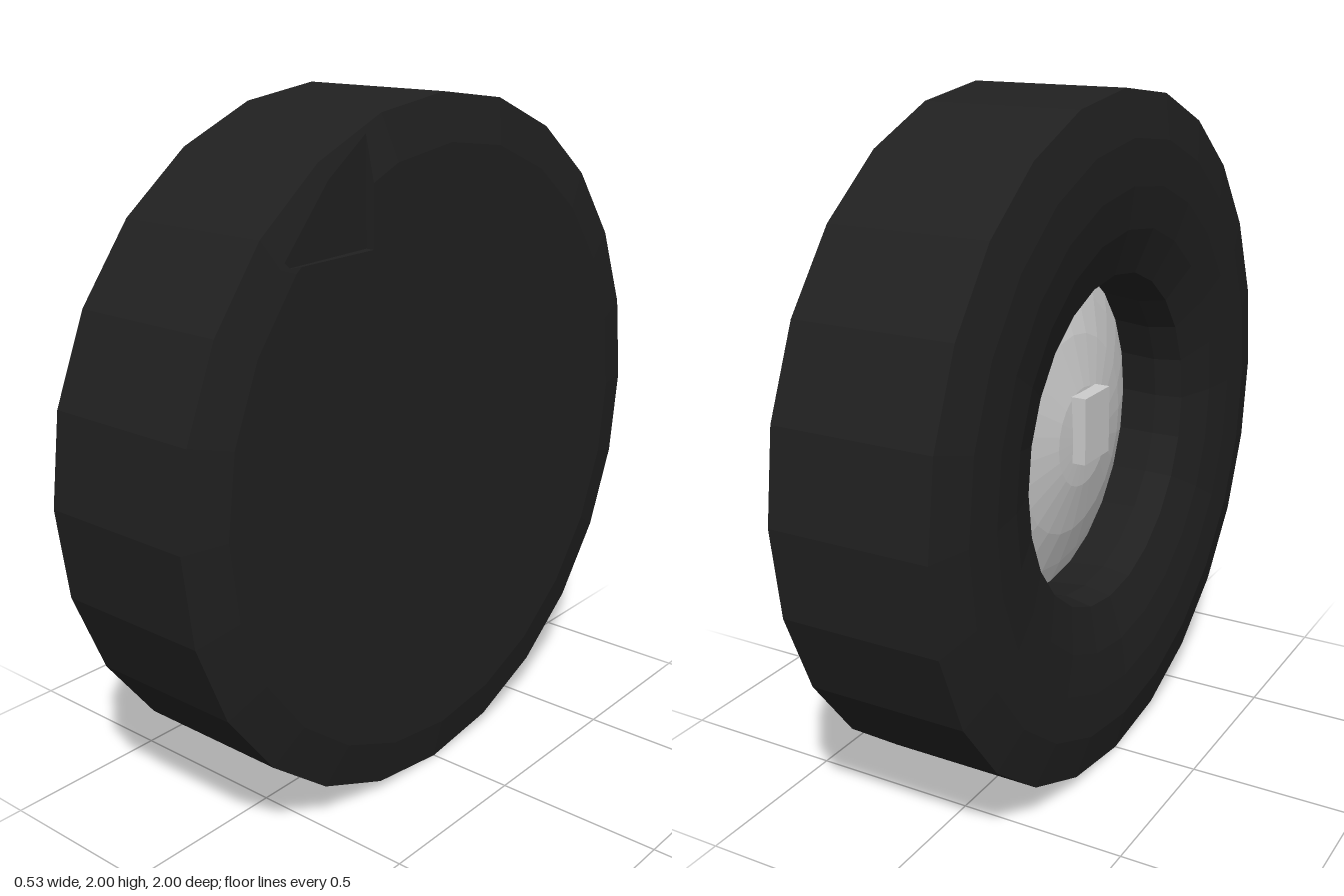
import * as THREE from 'three';

const SIDES = 24, STEP = Math.PI * 2 / SIDES;
const FACE_X = 0.265, TREAD_X = 0.235, FACE_R = 0.87;

const rubber = new THREE.MeshStandardMaterial({ color: 0x202020, flatShading: true, side: THREE.DoubleSide });
const metal = new THREE.MeshStandardMaterial({ color: 0xcccccc, flatShading: true, side: THREE.DoubleSide });

// Revolves [radius, x] points around the wheel's axle (x)
function revolve(name, profile, material) {
  const geometry = new THREE.LatheGeometry(profile.map(([r, x]) => new THREE.Vector2(r, x)), SIDES);
  geometry.rotateZ(-Math.PI / 2);
  const mesh = new THREE.Mesh(geometry, material);
  mesh.name = name;
  return mesh;
}

// Closed outer side: flat face and bevel, with a small corner recess
function coverGeometry() {
  const positions = [];
  const fan = (...p) => {
    for (let i = 1; i < p.length - 1; i++) positions.push(...p[0], ...p[i], ...p[i + 1]);
  };
  const rim = (i, r, x) => [x, r * Math.sin(i * STEP), r * Math.cos(i * STEP)];
  const inner = i => rim(i, FACE_R, FACE_X);
  const outer = i => rim(i, 1, TREAD_X);
  // Point on the bevel facet that starts at rim corner i
  const onBevel = (i, y, z) => {
    const mid = (i + 0.5) * STEP;
    const r = (z * Math.cos(mid) + y * Math.sin(mid)) / Math.cos(STEP / 2);
    return [FACE_X - (r - FACE_R) / (1 - FACE_R) * (FACE_X - TREAD_X), y, z];
  };

  // Recess corners
  const z0 = 0.325, y0 = 0.63;
  const top = [FACE_X, 0.799, z0], side = [FACE_X, y0, 0.595];
  const corner = [FACE_X, y0, z0], floor = [0.24, y0, z0];
  const topEnd = onBevel(4, 0.92, z0), sideEnd = onBevel(3, y0, 0.66);
  const ridge = rim(4, 0.95, FACE_X - 0.0185);

  // Flat face
  const ring = [];
  for (let i = 0; i <= SIDES; i++) {
    if (i === 4) ring.push(side, corner, top);
    else ring.push(inner(i));
  }
  fan([FACE_X, 0, 0], ...ring.reverse());

  // Bevel
  for (let i = 0; i < SIDES; i++) {
    if (i === 3) fan(sideEnd, ridge, outer(4), outer(3), inner(3), side);
    else if (i === 4) fan(topEnd, top, inner(5), outer(5), outer(4), ridge);
    else fan(outer(i + 1), outer(i), inner(i), inner(i + 1));
  }

  // Recess floor and walls
  fan(floor, topEnd, ridge, sideEnd);
  fan(corner, floor, sideEnd, side);
  fan(corner, top, topEnd, floor);

  const geometry = new THREE.BufferGeometry();
  geometry.setAttribute('position', new THREE.Float32BufferAttribute(positions, 3));
  geometry.computeVertexNormals();
  return geometry;
}

export function createModel() {
  const wheel = new THREE.Group();
  wheel.name = 'wheel';
  wheel.position.y = 1;

  // Tyre: hub opening, inner sidewall, shoulder and tread
  wheel.add(revolve('tyre', [
    [0.49, 0], [0.475, -0.125], [0.49, -0.21], [0.62, -0.25],
    [0.74, -0.265], [FACE_R, -FACE_X], [1, -TREAD_X], [1, TREAD_X],
  ], rubber));

  const cover = new THREE.Mesh(coverGeometry(), rubber);
  cover.name = 'cover';
  wheel.add(cover);

  // Shallow domed hub inside the opening
  wheel.add(revolve('hubDisc', [
    [0, -0.125], [0.15, -0.115], [0.3, -0.08], [0.42, -0.035], [0.487, -0.005],
  ], metal));

  // Block at the middle of the hub
  const block = new THREE.Mesh(new THREE.BoxGeometry(0.06, 0.2, 0.15), metal);
  block.name = 'hubBlock';
  block.position.set(-0.13, 0.04, 0);
  wheel.add(block);

  const model = new THREE.Group();
  model.add(wheel);
  return model;
}
